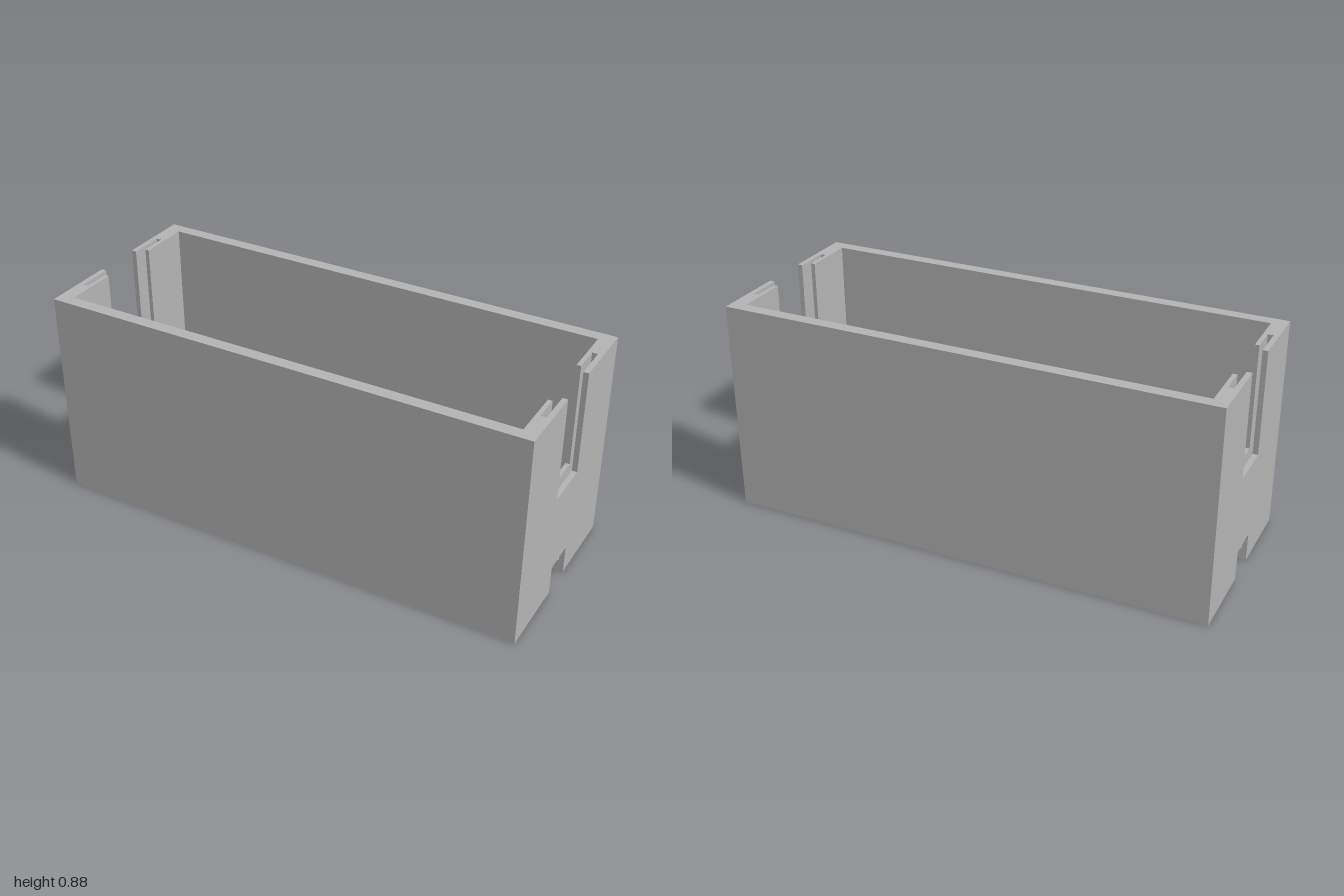
import * as THREE from 'three';

const H = 0.875, HALF_Z = 0.4, IN_X = 0.94, IN_Z = 0.35, FLOOR = 0.05;

// Closed shape from [x, y] pairs
const poly = (pts) => new THREE.Shape(pts.map(([x, y]) => new THREE.Vector2(x, y)));
const extrude = (shape, depth) =>
  new THREE.ExtrudeGeometry(shape, { depth, bevelEnabled: false, curveSegments: 32 });

export function createModel() {
  const model = new THREE.Group();
  const grey = new THREE.MeshStandardMaterial({ color: 0xb4b4b4 });
  grey.name = 'grey plastic';

  const add = (name, geometry, parent = model) => {
    const mesh = new THREE.Mesh(geometry, grey);
    mesh.name = name;
    parent.add(mesh);
    return mesh;
  };

  // Long front and back walls
  for (const s of [1, -1]) {
    const g = new THREE.BoxGeometry(IN_X * 2, H, HALF_Z - IN_Z);
    g.translate(0, H / 2, s * (HALF_Z + IN_Z) / 2);
    add(s > 0 ? 'frontWall' : 'backWall', g);
  }

  // Floor in two layers, so the screw holes are counterbored
  const floorLayer = (name, radius, y, thickness) => {
    const shape = poly([[-IN_X, -IN_Z], [IN_X, -IN_Z], [IN_X, IN_Z], [-IN_X, IN_Z]]);
    for (const x of [-0.605, 0.6]) {
      shape.holes.push(new THREE.Path().absarc(x, 0, radius, 0, Math.PI * 2, true));
    }
    const g = extrude(shape, thickness);
    g.rotateX(-Math.PI / 2);
    g.translate(0, y, 0);
    add(name, g);
  };
  floorLayer('floorBottom', 0.022, 0, FLOOR / 2);
  floorLayer('floorTop', 0.052, FLOOR / 2, FLOOR / 2);

  // One slice of an end wall: top notch half width and base, optional cable recess below
  const slice = (notchHalf, notchY, recess) => poly([
    [-HALF_Z, 0],
    ...(recess ? [[-0.07, 0], [-0.07, recess], [0.07, recess], [0.07, 0]] : []),
    [HALF_Z, 0], [HALF_Z, H], [notchHalf, H], [notchHalf, notchY],
    [-notchHalf, notchY], [-notchHalf, H], [-HALF_Z, H],
  ]);

  // The groove slice is open down to the cable recess
  const grooveSides = [1, -1].map((s) => poly([
    [s * 0.07, 0], [s * HALF_Z, 0], [s * HALF_Z, H],
    [s * 0.245, H], [s * 0.245, FLOOR], [s * 0.07, FLOOR],
  ]));

  // End walls: inner skin, panel groove, outer skin
  for (const s of [1, -1]) {
    const wall = new THREE.Group();
    wall.name = s > 0 ? 'leftEndWall' : 'rightEndWall';
    const layer = (name, shape, from, to) => {
      const g = extrude(shape, to - from);
      g.rotateY(Math.PI / 2);
      g.translate(from, 0, 0);
      add(name, g, wall);
    };
    layer('innerSkin', slice(0.135, 0.45, 0), IN_X, 0.957);
    grooveSides.forEach((shape) => layer('grooveSide', shape, 0.957, 0.979));
    layer('outerSkin', slice(0.1, 0.45, 0.118), 0.979, 1);
    wall.rotation.y = s > 0 ? 0 : Math.PI;
    model.add(wall);
  }

  // Cradle ribs with a half-round hollow
  const R = 0.287, TOP = 0.37;
  const ribShape = new THREE.Shape();
  ribShape.moveTo(-IN_Z, FLOOR);
  ribShape.lineTo(IN_Z, FLOOR);
  ribShape.lineTo(IN_Z, TOP);
  ribShape.lineTo(R, TOP);
  ribShape.absarc(0, TOP, R, 0, -Math.PI, true);
  ribShape.lineTo(-IN_Z, TOP);
  for (const x of [-0.485, 0.48]) {
    const g = extrude(ribShape, 0.062);
    g.rotateY(Math.PI / 2);
    g.translate(x - 0.031, 0, 0);
    add('cradleRib', g);
  }

  return model;
}
